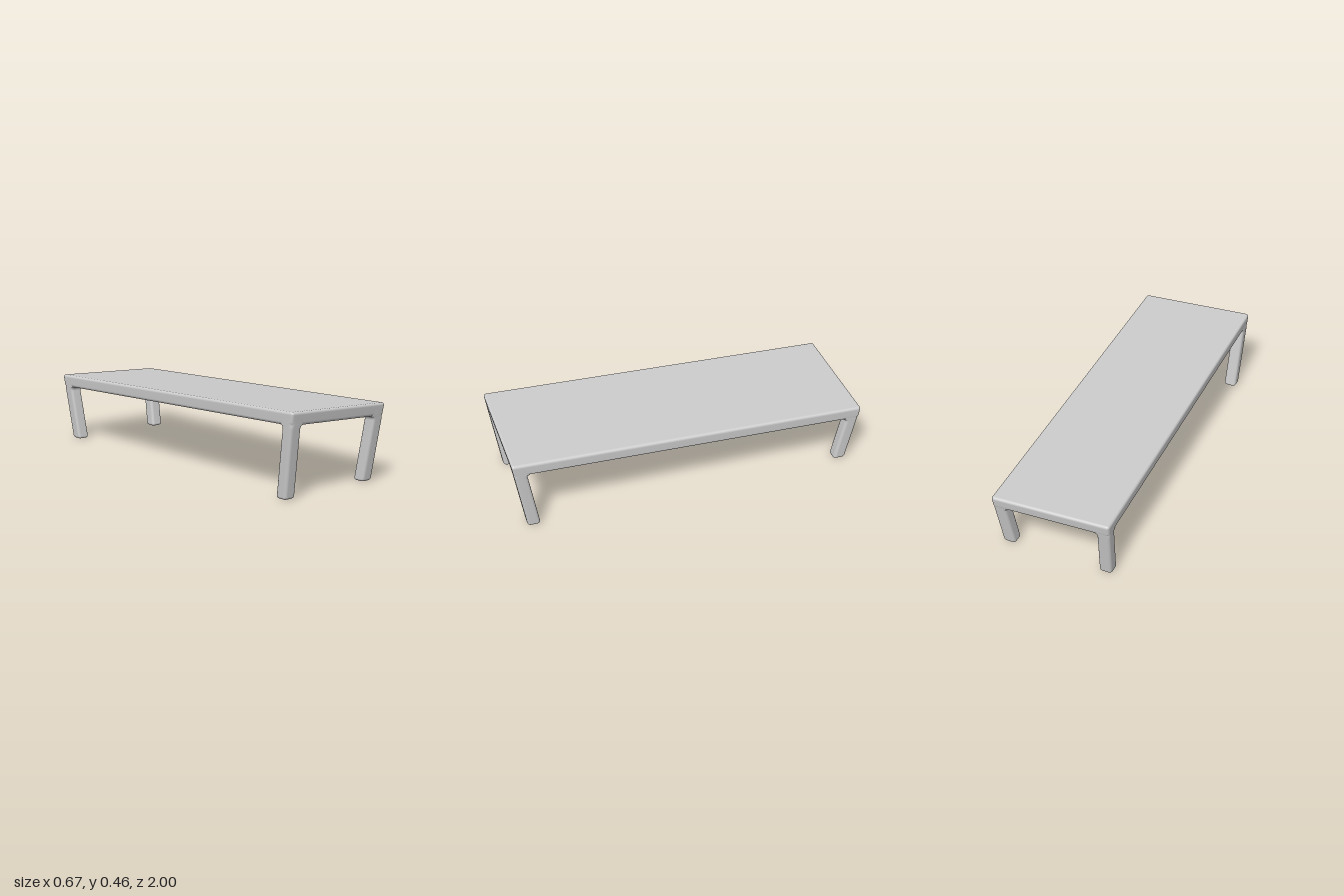
import * as THREE from 'three';
import { RoundedBoxGeometry } from 'three/addons/geometries/RoundedBoxGeometry.js';
import { mergeVertices } from 'three/addons/utils/BufferGeometryUtils.js';

const HX = 0.334, HZ = 1.0;      // half width and half length of the top
const THICK = 0.071, LEG = 0.07; // board thickness, leg width
const SPLAY_X = 0.019, SPLAY_Z = 0.067;
const EDGE = 0.016, FILLET = 0.02;

// height of the sloping upper surface
const topAt = (x, z) => 0.4035 - 0.053 * x + 0.0415 * z;

const material = new THREE.MeshStandardMaterial({ color: 0xcccccc });

// rounded board, sheared to the slope, its sides leaning in with the legs
function makeTop() {
  let geo = new RoundedBoxGeometry(2 * HX, THICK, 2 * HZ, 4, EDGE);
  geo.deleteAttribute('normal');
  geo.deleteAttribute('uv');
  geo = mergeVertices(geo, 1e-5);
  const p = geo.attributes.position;
  for (let i = 0; i < p.count; i++) {
    const depth = THICK / 2 - p.getY(i);
    const x = p.getX(i) * (1 - 0.046 * depth / HX);
    const z = p.getZ(i) * (1 - 0.16 * depth / HZ);
    p.setXYZ(i, x, topAt(x, z) - depth, z);
  }
  geo.computeVertexNormals();
  const mesh = new THREE.Mesh(geo, material);
  mesh.name = 'tableTop';
  return mesh;
}

// rounded-square outline; u and v run from the outer faces (0) to the inner faces (1)
function legOutline() {
  const r = EDGE / LEG, pts = [];
  const centres = [[1 - r, 1 - r], [r, 1 - r], [r, r], [1 - r, r]];
  centres.forEach(([cu, cv], k) => {
    for (let j = 0; j <= 4; j++) {
      const a = (k + j / 4) * Math.PI / 2;
      pts.push([cu + r * Math.cos(a), cv + r * Math.sin(a)]);
    }
  });
  return pts;
}

// splayed leg lofted from a rounded foot to a fillet under the board
function makeLeg(sx, sz, name) {
  const top = topAt(sx * HX, sz * HZ), under = top - THICK;
  const rings = [{ y: 0, s: 0, f: 0 }];
  for (let i = 0; i <= 4; i++) {
    const a = i / 4 * Math.PI / 2;
    rings.push({ y: 0.014 * (1 - Math.cos(a)), s: 0.62 + 0.38 * Math.sin(a), f: 0 });
  }
  for (let i = 0; i <= 5; i++) {
    const a = i / 5 * Math.PI / 2;
    rings.push({ y: under - FILLET * (1 - Math.sin(a)), s: 1, f: FILLET * (1 - Math.cos(a)) });
  }
  rings.push({ y: under + 0.035, s: 1, f: FILLET });

  const outline = legOutline(), n = outline.length, pos = [], index = [];
  for (const { y, s, f } of rings) {
    const lean = 1 - y / top;
    for (const [u, v] of outline) {
      const size = LEG + f;
      const x = sx * (HX - SPLAY_X * lean - size * (0.5 + (u - 0.5) * s));
      const z = sz * (HZ - SPLAY_Z * lean - size * (0.5 + (v - 0.5) * s));
      const tilt = topAt(x, z) - top;
      pos.push(x, y + tilt * y / top, z);
    }
  }
  for (let k = 0; k < rings.length - 1; k++) {
    for (let i = 0; i < n; i++) {
      const a = k * n + i, b = k * n + (i + 1) % n, c = a + n, d = b + n;
      if (sx * sz > 0) index.push(a, c, b, b, c, d);
      else index.push(a, b, c, b, d, c);
    }
  }
  let geo = new THREE.BufferGeometry();
  geo.setAttribute('position', new THREE.Float32BufferAttribute(pos, 3));
  geo.setIndex(index);
  geo = mergeVertices(geo, 1e-5);
  geo.computeVertexNormals();
  const mesh = new THREE.Mesh(geo, material);
  mesh.name = name;
  return mesh;
}

export function createModel() {
  const group = new THREE.Group();
  group.name = 'lowTable';
  group.add(makeTop());
  for (const sx of [1, -1]) {
    for (const sz of [1, -1]) {
      group.add(makeLeg(sx, sz, (sz > 0 ? 'front' : 'back') + (sx > 0 ? 'Left' : 'Right') + 'Leg'));
    }
  }
  return group;
}
